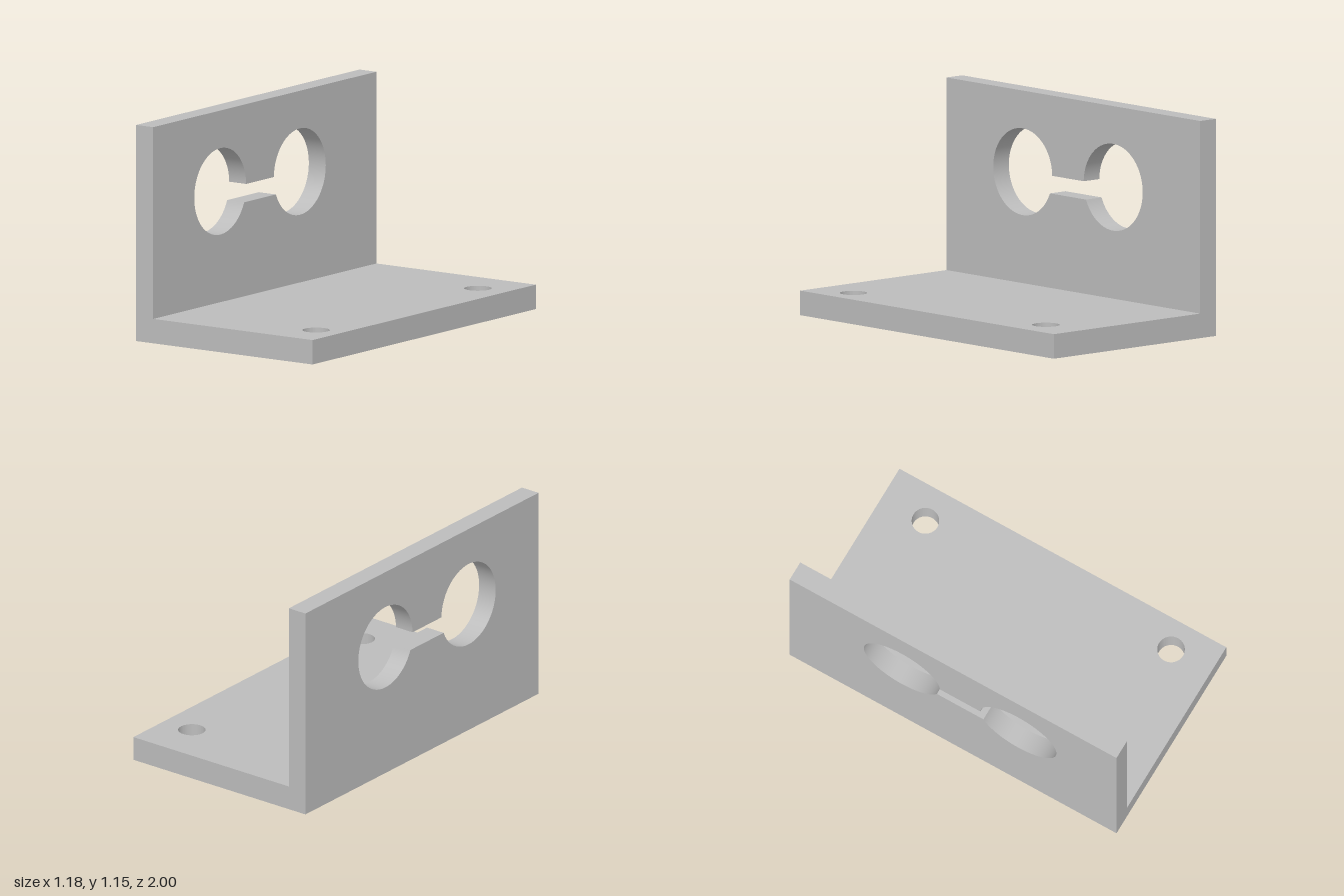
import * as THREE from 'three';
import { toCreasedNormals } from 'three/addons/utils/BufferGeometryUtils.js';

const LENGTH = 1.978, WIDTH = 1.143, HEIGHT = 1.15;
const WALL = 0.11, BASE = 0.13;

function rectangle(x0, y0, x1, y1) {
  return new THREE.Shape([[x0, y0], [x1, y0], [x1, y1], [x0, y1]].map(p => new THREE.Vector2(...p)));
}

function extrude(shape, depth) {
  return new THREE.ExtrudeGeometry(shape, { depth, bevelEnabled: false, curveSegments: 48 });
}

export function createModel() {
  const bracket = new THREE.Group();
  bracket.name = 'angleBracket';
  const grey = new THREE.MeshStandardMaterial({ color: 0xbcbcbc });
  grey.name = 'grey';

  const add = (name, geometry) => {
    const mesh = new THREE.Mesh(toCreasedNormals(geometry, 0.4), grey);
    mesh.name = name;
    bracket.add(mesh);
  };
  const inner = -WIDTH / 2 + WALL;

  // Upright wall: two round openings joined by a slot, drawn as (z, y)
  const wall = rectangle(-LENGTH / 2, 0, LENGTH / 2, HEIGHT);
  const r = 0.23, cy = 0.72;
  const low = Math.asin((0.63 - cy) / r), high = Math.asin((0.725 - cy) / r);
  const opening = new THREE.Path();
  opening.absarc(-0.31, cy, r, high, 2 * Math.PI + low, false);
  opening.absarc(0.395, cy, r, Math.PI - low, 3 * Math.PI - high, false);
  opening.closePath();
  wall.holes.push(opening);
  add('uprightWall', extrude(wall, WALL).rotateY(-Math.PI / 2).translate(inner, 0, 0));

  // Base plate with two screw holes, drawn as (x, z)
  const base = rectangle(inner, -LENGTH / 2, WIDTH / 2, LENGTH / 2);
  for (const [x, z] of [[0.389, -0.726], [0.416, 0.745]]) {
    base.holes.push(new THREE.Path().absarc(x, z, 0.072, 0, 2 * Math.PI, false));
  }
  add('basePlate', extrude(base, BASE).rotateX(Math.PI / 2).translate(0, BASE, 0));

  // The whole bracket is turned slightly about the vertical
  bracket.rotation.y = 0.0195;
  const model = new THREE.Group();
  model.name = 'model';
  model.add(bracket);
  return model;
}
